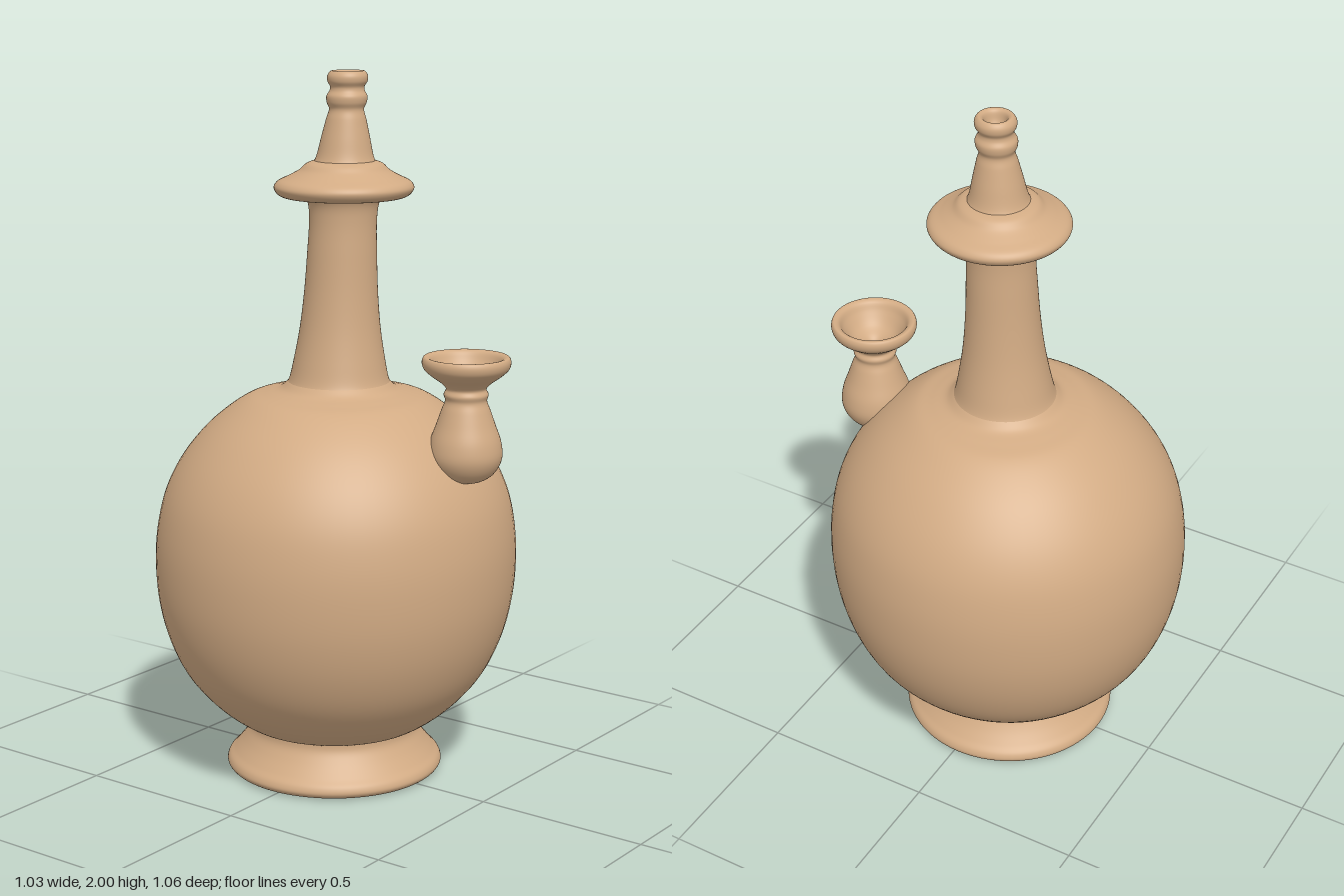
import * as THREE from 'three';

const clay = new THREE.MeshStandardMaterial({ color: 0xd2ab84 });
clay.name = 'tan clay';

// Smooth turned part from [radius, height] points, outside running upwards
function turned(name, points, divisions) {
  const curve = new THREE.CatmullRomCurve3(points.map(([r, y]) => new THREE.Vector3(r, y, 0)));
  const profile = curve.getPoints(divisions).map(p => new THREE.Vector2(Math.max(p.x, 0), p.y));
  const mesh = new THREE.Mesh(new THREE.LatheGeometry(profile, 80), clay);
  mesh.name = name;
  return mesh;
}

// Slight hand-made lean of the vessel's axis
function lean(mesh) {
  const p = mesh.geometry.attributes.position;
  for (let i = 0; i < p.count; i++) {
    const y = p.getY(i);
    p.setX(i, p.getX(i) + 0.005 * y);
    p.setZ(i, p.getZ(i) - 0.02 + 0.01 * y * y);
  }
  return mesh;
}

export function createModel() {
  const vessel = new THREE.Group();
  vessel.name = 'vessel';

  // Flared foot ring with a hollow underside
  vessel.add(lean(turned('foot', [
    [0, 0.075], [0.12, 0.072], [0.2, 0.06], [0.235, 0.03], [0.25, 0.005], [0.27, 0],
    [0.298, 0.004], [0.31, 0.018], [0.306, 0.035], [0.288, 0.055], [0.26, 0.09],
    [0.243, 0.12], [0.24, 0.15],
  ], 72)));

  // Round belly
  vessel.add(lean(turned('body', [
    [0.235, 0.135], [0.27, 0.15], [0.345, 0.205], [0.425, 0.295], [0.475, 0.395], [0.505, 0.51],
    [0.514, 0.63], [0.507, 0.73], [0.485, 0.825], [0.445, 0.91], [0.385, 0.99],
    [0.32, 1.05], [0.255, 1.092], [0.205, 1.106], [0.165, 1.118], [0.14, 1.14],
  ], 90)));

  // Tapered neck
  vessel.add(lean(turned('neck', [
    [0.15, 1.122], [0.14, 1.145], [0.128, 1.2], [0.113, 1.29], [0.103, 1.39],
    [0.097, 1.5], [0.094, 1.59], [0.098, 1.635], [0.112, 1.668],
  ], 50)));

  // Wide disc collar
  vessel.add(lean(turned('collar', [
    [0.09, 1.655], [0.125, 1.66], [0.165, 1.656], [0.185, 1.665], [0.194, 1.682],
    [0.186, 1.697], [0.155, 1.713], [0.125, 1.73], [0.105, 1.748], [0.075, 1.758],
  ], 60)));

  // Beaded mouth tube with a small opening
  vessel.add(lean(turned('mouth', [
    [0.092, 1.74], [0.08, 1.765], [0.067, 1.82], [0.055, 1.87], [0.048, 1.897],
    [0.055, 1.915], [0.056, 1.932], [0.048, 1.947], [0.047, 1.957], [0.055, 1.972],
    [0.055, 1.988], [0.045, 2], [0.034, 1.995], [0.026, 1.97], [0.016, 1.955], [0, 1.952],
  ], 90)));

  // Side spout: bulb, ridged stem and open funnel
  const spout = turned('spout', [
    [0, 0.9], [0.045, 0.907], [0.08, 0.93], [0.1, 0.97], [0.097, 1.015], [0.08, 1.065],
    [0.066, 1.105], [0.057, 1.13], [0.061, 1.147], [0.055, 1.162], [0.068, 1.178],
    [0.098, 1.2], [0.117, 1.219], [0.121, 1.238], [0.115, 1.25], [0.1, 1.246],
    [0.086, 1.222], [0.062, 1.19], [0.032, 1.168], [0.021, 1.15], [0.018, 1.115], [0, 1.112],
  ], 100);
  spout.position.set(0.022, 0, 0.411);
  vessel.add(spout);

  return vessel;
}
